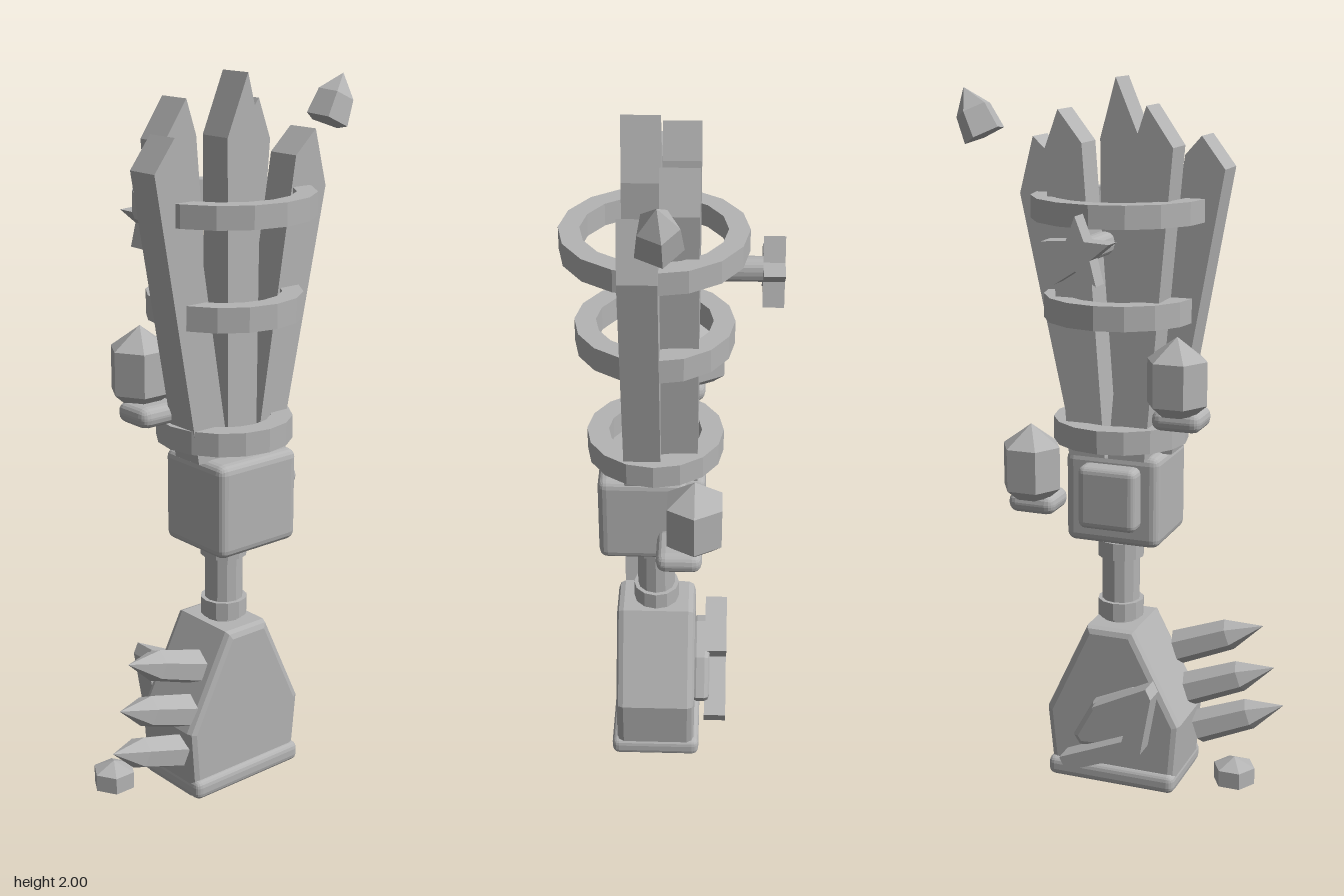
import * as THREE from 'three';
import { RoundedBoxGeometry } from 'three/addons/geometries/RoundedBoxGeometry.js';

const stone = new THREE.MeshStandardMaterial({ color: 0xb4b4b4, flatShading: true });
stone.name = 'grey stone';

export function createModel() {
  const group = new THREE.Group();
  group.name = 'plankClub';
  const CZ = 0.045; // depth of the main axis

  const add = (name, geo, x = 0, y = 0, z = 0) => {
    const m = new THREE.Mesh(geo, stone);
    m.name = name;
    m.position.set(x, y, z);
    group.add(m);
    return m;
  };
  const rounded = (name, w, h, d, r, x, y, z) =>
    add(name, new RoundedBoxGeometry(w, h, d, 2, r), x, y, z);
  const shapeOf = (pts) => new THREE.Shape(pts.map(([x, y]) => new THREE.Vector2(x, y)));
  // Outline in x/y, extruded from z0 to z1 with an optional inward bevel
  const slab = (name, pts, z0, z1, bevel = 0) =>
    add(name, new THREE.ExtrudeGeometry(shapeOf(pts), {
      depth: z1 - z0 - 2 * bevel, bevelEnabled: bevel > 0, bevelSize: bevel,
      bevelThickness: bevel, bevelOffset: -bevel, bevelSegments: 2,
    }), 0, 0, z0 + bevel);
  const lathe = (pts, sides) =>
    new THREE.LatheGeometry(pts.map(([r, y]) => new THREE.Vector2(r, y)), sides);
  const crystal = (name, pts, sides, x, y, z) =>
    add(name, lathe(pts, sides).rotateY(Math.PI / 6), x, y, z);

  // Pommel and its bottom trim
  slab('pommel', [[-0.2, 0.01], [0.17, 0.01], [0.19, 0.21], [0.065, 0.48], [-0.075, 0.48], [-0.215, 0.21]],
    -0.07, 0.16, 0.02);
  rounded('pommelTrim', 0.385, 0.058, 0.26, 0.02, -0.012, 0.034, 0.045);

  // Emblem on the back of the pommel
  slab('emblemBacking', [[-0.12, 0.31], [-0.08, 0.32], [0.03, 0.27], [0.09, 0.16], [0.07, 0.13], [-0.1, 0.14]],
    -0.115, -0.06, 0.015);
  slab('emblem', [[0.01, 0.28], [-0.15, 0.36], [-0.165, 0.33], [-0.135, 0.16], [0.09, 0.07],
    [0.11, 0.11], [-0.08, 0.19], [-0.105, 0.29], [-0.01, 0.24]], -0.165, -0.1);

  // Grip with two collars
  add('grip', new THREE.CylinderGeometry(0.054, 0.054, 0.28, 12), 0, 0.6, CZ);
  for (const y of [0.515, 0.695])
    add('gripCollar', new THREE.CylinderGeometry(0.066, 0.066, 0.05, 12), 0, y, CZ);

  // Guard block and back plate
  rounded('guardBlock', 0.275, 0.265, 0.245, 0.025, -0.003, 0.857, 0.078);
  rounded('guardBackPlate', 0.17, 0.18, 0.08, 0.02, -0.005, 0.87, -0.055);

  // Pointed planks: bottom left/right, right shoulder, tip, left shoulder
  const front = [
    [[-0.155, 0.985], [-0.05, 0.985], [-0.185, 1.805], [-0.23, 1.855], [-0.295, 1.77]],
    [[-0.053, 0.985], [0.047, 0.985], [0.054, 1.84], [0.01, 2.0], [-0.058, 1.84]],
    [[0.05, 0.985], [0.14, 0.985], [0.29, 1.685], [0.25, 1.84], [0.18, 1.775]],
  ];
  const back = [
    [[-0.11, 0.985], [-0.005, 0.985], [-0.08, 1.84], [-0.112, 1.935], [-0.185, 1.83]],
    [[0.005, 0.985], [0.11, 0.985], [0.176, 1.81], [0.135, 1.92], [0.068, 1.835]],
  ];
  front.forEach((p) => slab('frontPlank', p, 0.026, 0.125));
  back.forEach((p) => slab('backPlank', p, -0.073, 0.026));

  // Hollow bands around the planks
  for (const [r, ri, y0, y1] of [[0.245, 0.19, 1.63, 1.692], [0.212, 0.155, 1.358, 1.425], [0.188, 0.128, 1.015, 1.08]])
    add('band', lathe([[ri, y0], [r, y0], [r, y1], [ri, y1], [ri, y0]], 16), 0, 0, CZ);

  // Side crystals on rounded holders
  for (const [x, y] of [[0.225, 0.83], [-0.2, 1.107]]) {
    rounded('crystalHolder', 0.14, 0.058, 0.125, 0.026, x, y, -0.027);
    crystal('sideCrystal', [[0, 0.01], [0.05, 0.02], [0.085, 0.05], [0.085, 0.17], [0, 0.232]], 6, x, y, -0.068);
  }

  // Star on a short peg behind the planks
  rounded('starPeg', 0.062, 0.062, 0.19, 0.025, 0, 1.58, -0.165);
  const star = [];
  for (let i = 0; i < 10; i++) {
    const a = Math.PI / 2 + (i * Math.PI) / 5, r = i % 2 ? 0.042 : 0.097;
    star.push([r * Math.cos(a), 1.577 + r * Math.sin(a)]);
  }
  slab('star', star, -0.29, -0.234);

  // Row of spikes on the pommel side
  const up = new THREE.Vector3(0, 1, 0);
  for (const [x, y, z] of [[-0.4, 0.475, 0.125], [-0.435, 0.35, 0.13], [-0.465, 0.235, 0.135]]) {
    const s = crystal('pommelSpike', [[0, 0], [0.05, 0], [0.045, 0.16], [0, 0.265]], 6, x + 0.245, y - 0.09, 0.1);
    s.quaternion.setFromUnitVectors(up, new THREE.Vector3(-0.245, 0.09, z - 0.1).normalize());
  }

  // Loose crystals
  crystal('looseLowCrystal', [[0, -0.05], [0.06, -0.024], [0.06, 0.024], [0, 0.05]], 6, -0.363, 0.07, -0.003);
  const shard = crystal('looseHighCrystal', [[0, 0], [0.062, 0], [0.053, 0.075], [0, 0.14]], 5, 0.39, 1.84, 0.02);
  shard.rotation.z = -0.45;

  return group;
}
